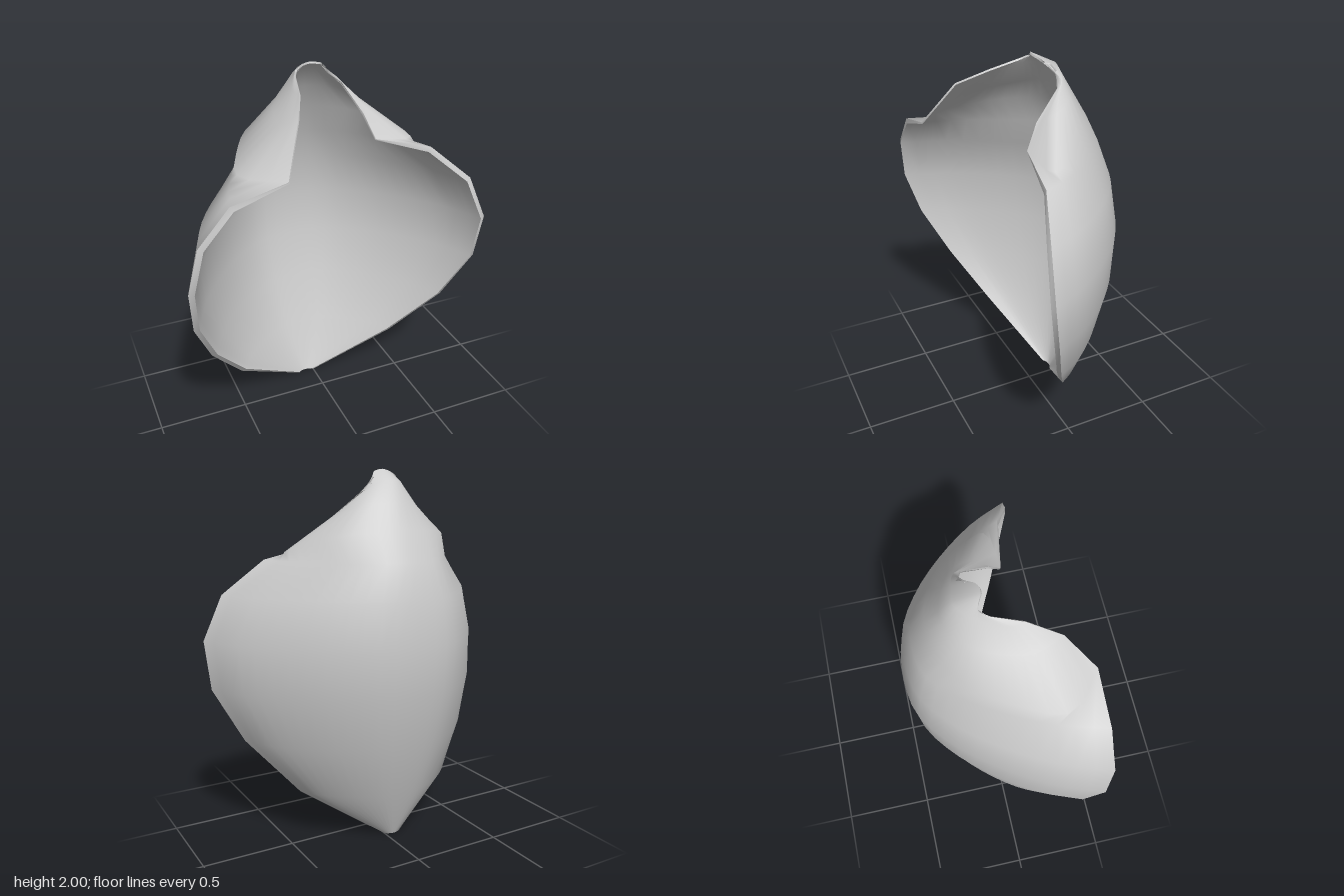
import * as THREE from 'three';

const COLS = 29;

// Half cross-section of the bowl: fraction of width against fraction of depth
const WIDTH = [0, 0.25, 0.49, 0.71, 0.89, 1];
const DEPTH = [0, 0.04, 0.205, 0.45, 0.73, 1];

// Bowl rows: y, left x, left z, centre z, right x, right z
const BOWL = [
  [0, -0.1, -0.15, -0.172, 0, -0.15],
  [0.29, -0.52, 0.04, -0.29, 0.44, 0.01],
  [0.58, -0.72, 0.21, -0.375, 0.69, 0.16],
  [0.86, -0.83, 0.35, -0.435, 0.83, 0.25],
  [1.12, -0.855, 0.43, -0.455, 0.85, 0.285],
  [1.36, -0.8, 0.455, -0.425, 0.75, 0.26],
  [1.54, -0.64, 0.455, -0.37, 0.54, 0.18],
];

// Hood rows: the margin folds inward and gathers to a tip
const HOOD = [
  [[-0.36, 1.61, 0.455], [-0.54, 1.6, 0.28], [-0.47, 1.64, 0.05], [-0.36, 1.67, -0.13], [-0.2, 1.69, -0.25],
    [-0.05, 1.7, -0.29], [0.1, 1.69, -0.27], [0.27, 1.67, -0.18], [0.4, 1.63, -0.03], [0.46, 1.58, 0.1], [0.24, 1.61, 0.13]],
  [[-0.25, 1.83, 0.3], [-0.29, 1.78, 0.17], [-0.27, 1.79, 0.02], [-0.22, 1.81, -0.1], [-0.14, 1.83, -0.18],
    [-0.05, 1.83, -0.22], [0.05, 1.83, -0.2], [0.15, 1.82, -0.15], [0.21, 1.79, -0.08], [0.23, 1.76, 0], [0.2, 1.73, 0.06]],
  [[-0.18, 1.9, 0.14], [-0.19, 1.9, 0.08], [-0.17, 1.92, 0], [-0.14, 1.93, -0.07], [-0.1, 1.94, -0.12],
    [-0.05, 1.94, -0.155], [0, 1.94, -0.15], [0.06, 1.92, -0.14], [0.1, 1.9, -0.13], [0.13, 1.88, -0.11], [0.14, 1.86, -0.08]],
  [[-0.14, 1.95, -0.02], [-0.13, 1.96, -0.04], [-0.11, 1.97, -0.06], [-0.09, 1.985, -0.05], [-0.07, 1.995, -0.04],
    [-0.05, 2, -0.03], [-0.02, 1.995, -0.03], [0.01, 1.985, -0.045], [0.03, 1.965, -0.07], [0.05, 1.94, -0.1], [0.07, 1.91, -0.12]],
];

function bowlRow([y, xl, zl, zc, xr, zr]) {
  const row = [];
  for (let k = -5; k <= 5; k++) {
    const a = Math.abs(k), x = k < 0 ? xl : xr, z = k < 0 ? zl : zr;
    row.push([-0.05 + (x + 0.05) * WIDTH[a], y, zc + (z - zc) * DEPTH[a]]);
  }
  return row;
}

function makeGeometry(points, index) {
  const geometry = new THREE.BufferGeometry().setFromPoints(points);
  geometry.setIndex(index);
  geometry.computeVertexNormals();
  return geometry;
}

export function createModel() {
  const group = new THREE.Group();
  group.name = 'petal';
  const petalGrey = new THREE.MeshStandardMaterial({ color: 0xcccccc, side: THREE.DoubleSide });
  petalGrey.name = 'petalGrey';

  // Outer sheet, lofted through the rows
  const rows = [...BOWL.map(bowlRow), ...HOOD];
  const outer = rows.flatMap((row) => {
    const curve = new THREE.CatmullRomCurve3(row.map((p) => new THREE.Vector3(...p)));
    return Array.from({ length: COLS }, (_, j) => curve.getPoint(j / (COLS - 1)));
  });
  const outIndex = [], inIndex = [];
  for (let i = 0; i < rows.length - 1; i++) {
    for (let j = 0; j < COLS - 1; j++) {
      const a = i * COLS + j, b = a + 1, c = a + COLS, d = c + 1;
      outIndex.push(a, c, b, b, c, d);
      inIndex.push(a, b, c, b, d, c);
    }
  }
  const outerGeometry = makeGeometry(outer, outIndex);

  // Inner sheet, offset along the normals and thinner in the hood
  const normals = outerGeometry.attributes.normal;
  const inner = outer.map((p, k) => {
    const row = Math.floor(k / COLS);
    const thickness = row === 0 ? 0.012 : row < BOWL.length ? 0.03 : 0.01;
    const q = p.clone().addScaledVector(new THREE.Vector3().fromBufferAttribute(normals, k), -thickness);
    q.y = THREE.MathUtils.clamp(q.y, 0, 2);
    return q;
  });

  // Rim strip joining both sheets around the whole boundary
  const last = rows.length - 1, loop = [];
  for (let j = 0; j < COLS - 1; j++) loop.push(j);
  for (let i = 0; i < last; i++) loop.push(i * COLS + COLS - 1);
  for (let j = COLS - 1; j > 0; j--) loop.push(last * COLS + j);
  for (let i = last; i > 0; i--) loop.push(i * COLS);
  const rimPoints = loop.flatMap((k) => [outer[k], inner[k]]);
  const rimIndex = [];
  loop.forEach((_, k) => {
    const a = 2 * k, b = 2 * ((k + 1) % loop.length);
    rimIndex.push(a, b, a + 1, b, b + 1, a + 1);
  });

  const parts = {
    outerSurface: outerGeometry,
    innerSurface: makeGeometry(inner, inIndex),
    rim: makeGeometry(rimPoints, rimIndex),
  };
  for (const [name, geometry] of Object.entries(parts)) {
    const mesh = new THREE.Mesh(geometry, petalGrey);
    mesh.name = name;
    group.add(mesh);
  }
  return group;
}
